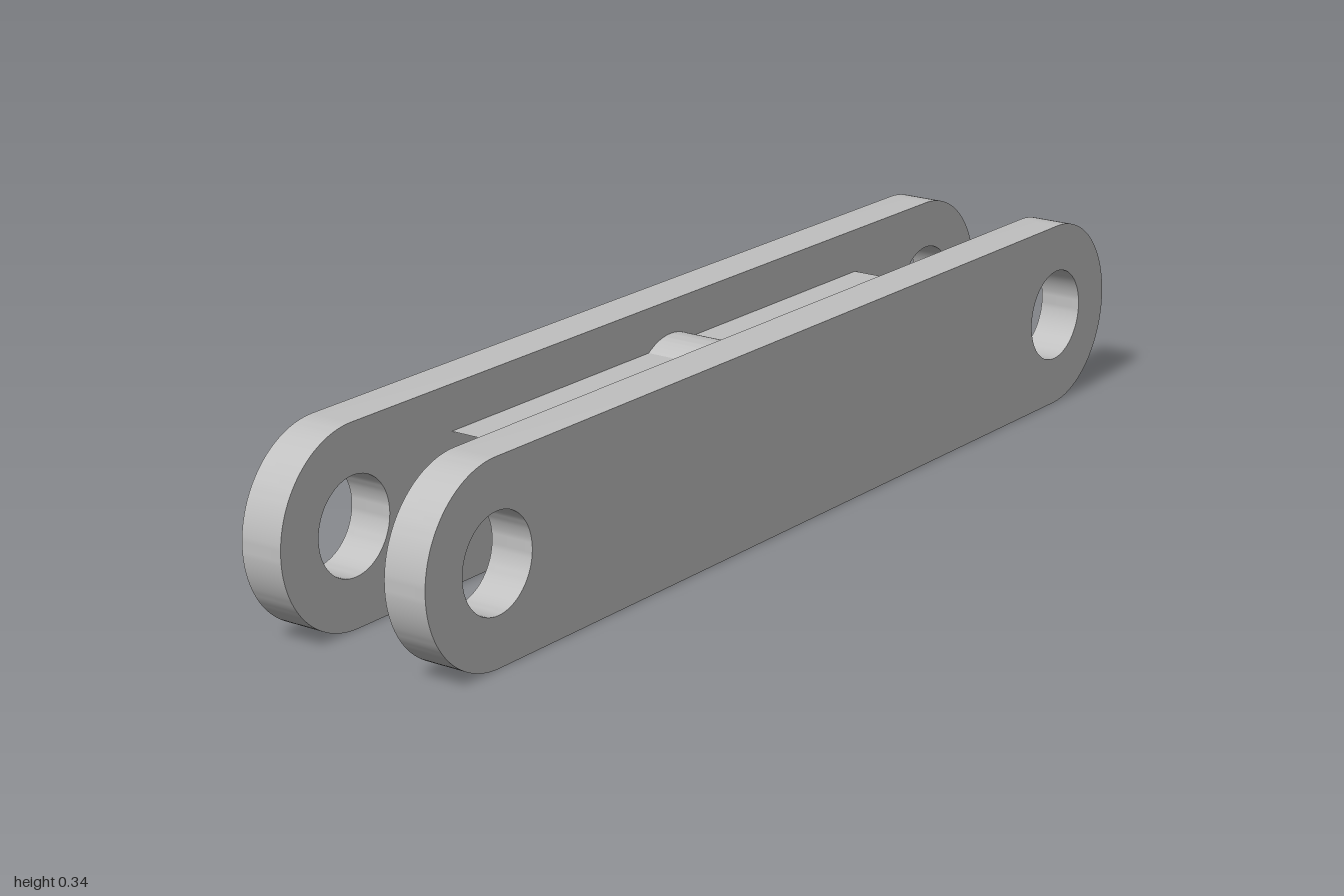
import * as THREE from 'three';
import { toCreasedNormals } from 'three/addons/utils/BufferGeometryUtils.js';

const CENTRE_Y = 0.1725;

// Extrude a shape along z, centred, keeping curved walls smooth and rims sharp
function slab(shape, depth) {
  const geometry = new THREE.ExtrudeGeometry(shape, { depth, bevelEnabled: false, curveSegments: 32 });
  geometry.translate(0, 0, -depth / 2);
  return toCreasedNormals(geometry, Math.PI / 6);
}

// Round-ended bar with a pin hole at each end
function plateShape() {
  const r = CENTRE_Y, cx = 1 - r;
  const shape = new THREE.Shape();
  shape.moveTo(-cx, -r);
  shape.lineTo(cx, -r);
  shape.absarc(cx, 0, r, -Math.PI / 2, Math.PI / 2, false);
  shape.lineTo(-cx, r);
  shape.absarc(-cx, 0, r, Math.PI / 2, Math.PI * 1.5, false);
  for (const side of [-1, 1]) {
    const hole = new THREE.Path();
    hole.absarc(side * cx, 0, 0.085, 0, Math.PI * 2, true);
    shape.holes.push(hole);
  }
  return shape;
}

// Rectangular web with a round boss bulging through its top and bottom
function spacerShape() {
  const w = 0.585, h = 0.0915, r = 0.1115, bossX = 0.01;
  const a = Math.asin(h / r);
  const shape = new THREE.Shape();
  shape.moveTo(-w, -h);
  shape.absarc(bossX, 0, r, Math.PI + a, Math.PI * 2 - a, false);
  shape.lineTo(w, -h);
  shape.lineTo(w, h);
  shape.absarc(bossX, 0, r, a, Math.PI - a, false);
  shape.lineTo(-w, h);
  shape.closePath();
  return shape;
}

export function createModel() {
  const model = new THREE.Group();
  model.name = 'linkArm';
  const metal = new THREE.MeshStandardMaterial({ color: 0xc0c0c0 });
  metal.name = 'plain grey metal';

  // Two matching side plates
  const plateGeometry = slab(plateShape(), 0.08);
  for (const [name, z] of [['frontPlate', 0.1445], ['backPlate', -0.1445]]) {
    const plate = new THREE.Mesh(plateGeometry, metal);
    plate.name = name;
    plate.position.set(0, CENTRE_Y, z);
    model.add(plate);
  }

  // Spacer joining the plates
  const spacer = new THREE.Mesh(slab(spacerShape(), 0.209), metal);
  spacer.name = 'spacerWithBoss';
  spacer.position.y = CENTRE_Y + 0.001;
  model.add(spacer);

  return model;
}
